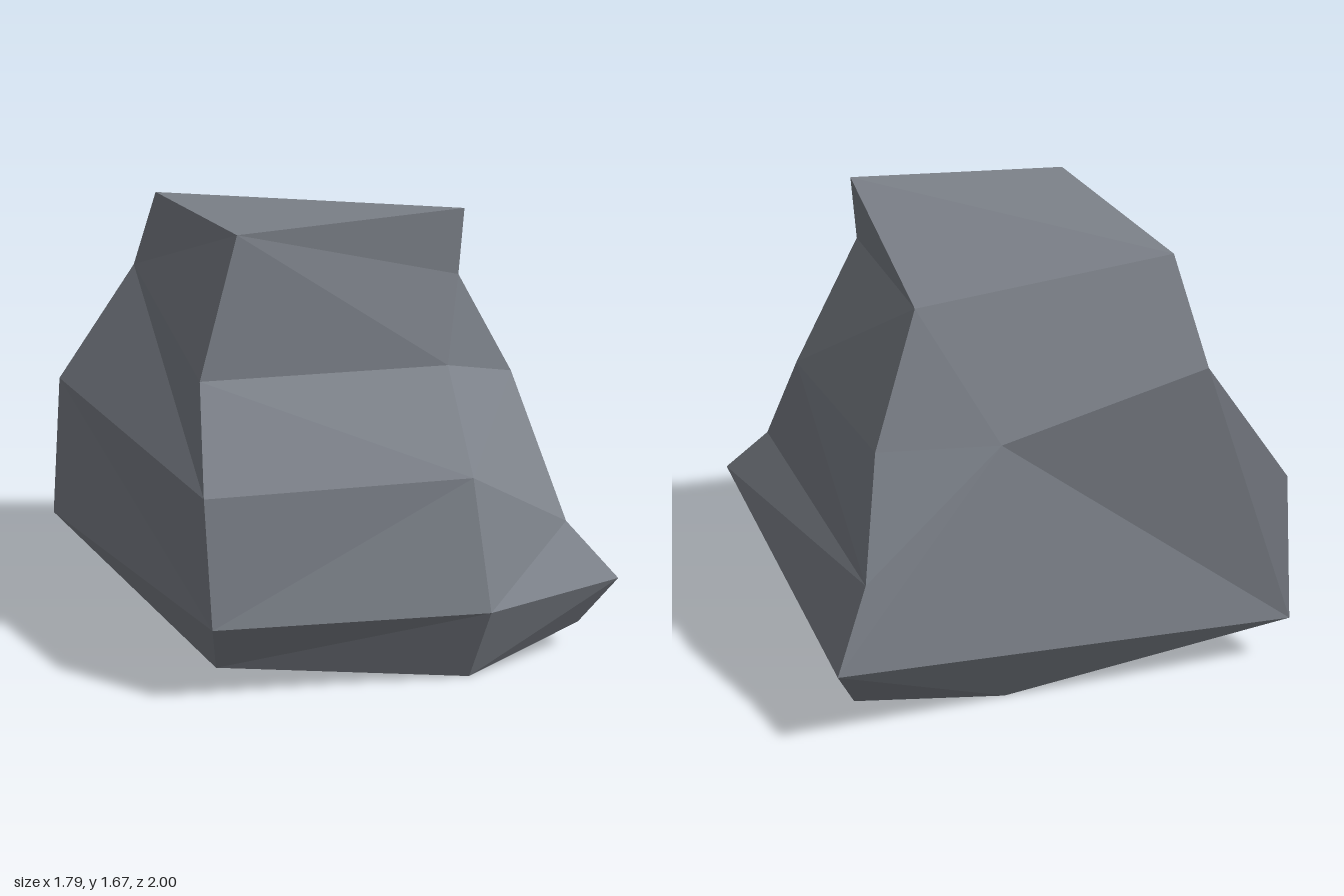
import * as THREE from 'three';

export function createModel() {
  const stone = new THREE.MeshStandardMaterial({ color: 0x7c8189 });
  stone.name = 'stone grey';
  stone.flatShading = true;

  // Corners shared by neighbouring cross-sections
  const backLeftFoot = [-0.9, 0.18, -0.98];
  const backLeftPeak = [-0.51, 1.25, -0.97];
  const backHollow = [0.23, 1.02, -0.86];
  const notch = [0.36, 1.42, 0.4];
  const topFrontLeft = [-0.51, 1.63, 0.38];
  const topFrontRight = [0.38, 1.67, 0.4];
  const topBackRight = [0.44, 1.45, -0.55];
  const topBackLeft = [-0.48, 1.6, -0.72];

  // Cross-sections from bottom to top, each running front left, front,
  // front right, back right, back, back left
  const rings = [
    [[-0.71, 0.1, 0.66], [0.21, 0, 0.87], [0.72, 0.1, 0.77], [0.79, 0.1, -0.85], [0.21, 0, -0.85], backLeftFoot],
    [[-0.76, 0.3, 0.78], [0.23, 0.3, 1], [0.83, 0.3, 0.87], [0.89, 0.3, -1], backLeftFoot, [-0.85, 0.78, -0.98]],
    [[-0.76, 0.77, 0.71], [0.22, 0.77, 0.85], [0.68, 0.5, 0.72], [0.76, 0.6, -0.93], backHollow, backLeftPeak],
    [[-0.67, 1.11, 0.41], [0.29, 1.09, 0.47], [0.66, 0.98, 0.27], [0.65, 1, -0.72], backHollow, backLeftPeak],
    [topFrontLeft, notch, notch, topBackRight, topBackRight, topBackLeft],
    [topFrontLeft, topFrontRight, topFrontRight, topBackRight, topBackRight, topBackLeft],
  ];
  // Which way each facet is split: / rises to the right, - falls to the right
  const splits = ['//---/', '//////', '-/-///', '-/////', '//////'];

  const positions = [];
  const triangle = (a, b, c) => {
    if (a !== b && b !== c && c !== a) positions.push(...a, ...b, ...c);
  };

  // Sides
  splits.forEach((split, r) => {
    const low = rings[r], high = rings[r + 1];
    for (let i = 0; i < 6; i++) {
      const j = (i + 1) % 6;
      if (split[i] === '/') {
        triangle(low[i], low[j], high[j]);
        triangle(low[i], high[j], high[i]);
      } else {
        triangle(low[i], low[j], high[i]);
        triangle(low[j], high[j], high[i]);
      }
    }
  });

  // Top and underside, each fanned from one corner
  const cap = (ring, start, flip) => {
    for (let k = 1; k < 5; k++) {
      const p = ring[(start + k) % 6], q = ring[(start + k + 1) % 6];
      triangle(ring[start], flip ? q : p, flip ? p : q);
    }
  };
  cap(rings[5], 1, false);
  cap(rings[0], 4, true);

  const geometry = new THREE.BufferGeometry();
  geometry.setAttribute('position', new THREE.Float32BufferAttribute(positions, 3));
  geometry.computeVertexNormals();

  const boulder = new THREE.Mesh(geometry, stone);
  boulder.name = 'boulder';
  const group = new THREE.Group();
  group.name = 'rock';
  group.add(boulder);
  return group;
}
